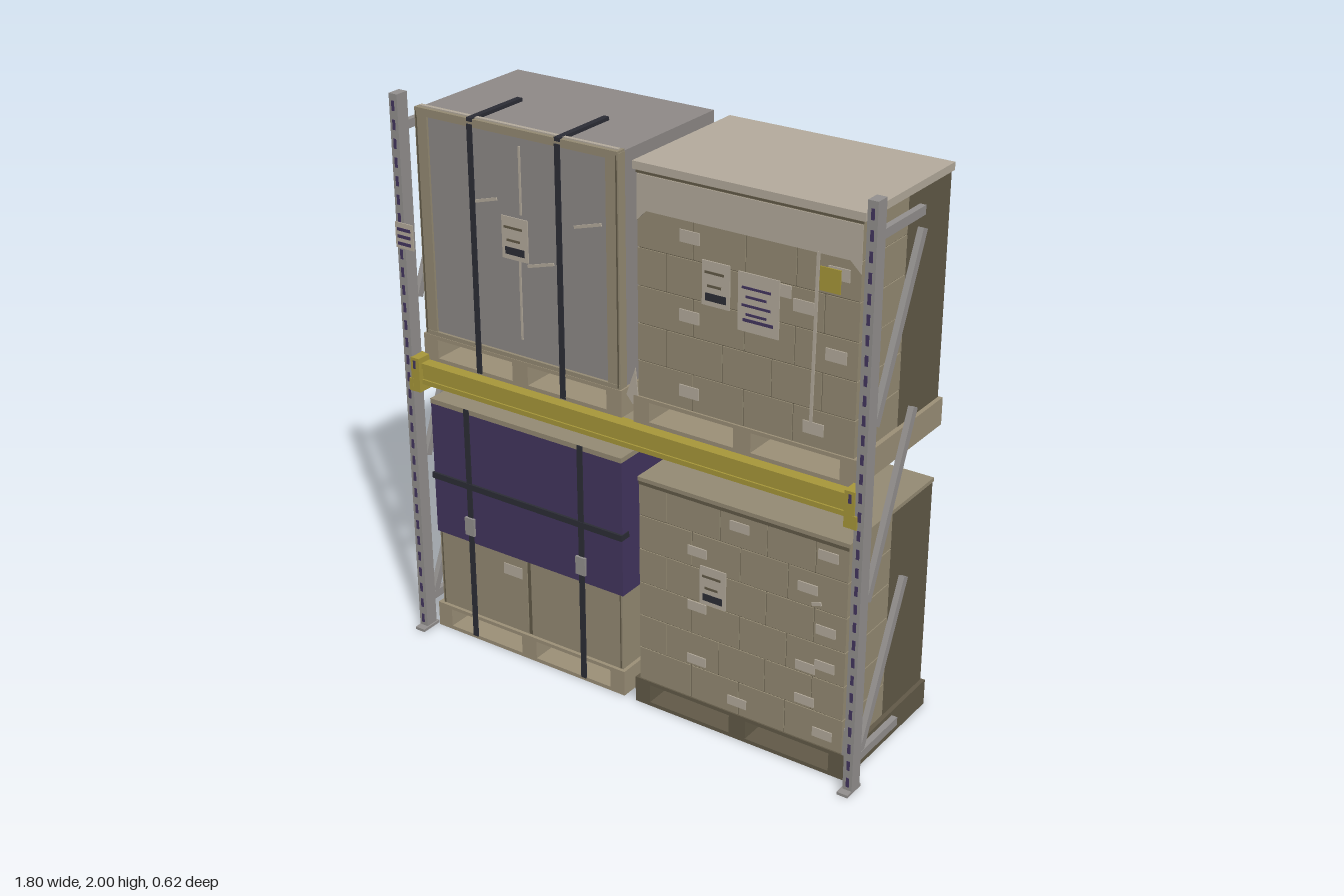
import * as THREE from 'three';

const mat = (name, color) => Object.assign(new THREE.MeshStandardMaterial({ color }), { name });

export function createModel() {
  const root = new THREE.Group();
  root.name = 'loadedPalletRack';
  const card = mat('cardboard', 0x958b74), brown = mat('shadedCardboard', 0x625a48);
  const wood = mat('palletWood', 0x9c9078), grey = mat('greyWrap', 0x8f8a88);
  const cream = mat('paleWrap', 0xb5ac9d), purple = mat('purpleCover', 0x43355f);
  const black = mat('strapBlack', 0x2c2d36), yellow = mat('beamYellow', 0xa8983a);
  const steel = mat('steel', 0x94918f);

  const group = (name) => {
    const g = new THREE.Group();
    g.name = name;
    root.add(g);
    return g;
  };
  // box given by its limits on each axis
  const block = (g, name, m, x0, x1, y0, y1, z0, z1) => {
    const b = new THREE.Mesh(new THREE.BoxGeometry(x1 - x0, y1 - y0, z1 - z0), m);
    b.position.set((x0 + x1) / 2, (y0 + y1) / 2, (z0 + z1) / 2);
    b.name = name;
    g.add(b);
    return b;
  };
  // thin plate facing the front
  const plate = (g, name, m, x, y, w, h, z = 0.232, turn = 0) => {
    const b = block(g, name, m, x - w / 2, x + w / 2, y - h / 2, y + h / 2, z - 0.002, z + 0.002);
    b.rotation.z = turn;
    return b;
  };
  const extrude = (g, name, m, points, z, depth, holes = []) => {
    const toV = (p) => new THREE.Vector2(p[0], p[1]);
    const s = new THREE.Shape(points.map(toV));
    for (const h of holes) s.holes.push(new THREE.Path(h.map(toV)));
    const e = new THREE.Mesh(new THREE.ExtrudeGeometry(s, { depth, bevelEnabled: false }), m);
    e.position.z = z;
    e.name = name;
    g.add(e);
  };
  const rect = (x0, x1, y0, y1) => [[x0, y0], [x1, y0], [x1, y1], [x0, y1]];

  // Pallet with two fork openings running front to back
  const pallet = (g, m, x0, x1, y) => {
    const c = (x0 + x1) / 2;
    extrude(g, 'pallet', m, rect(x0, x1, y, y + 0.095), -0.31, 0.54,
      [rect(x0 + 0.06, c - 0.032, y + 0.014, y + 0.082), rect(c + 0.032, x1 - 0.06, y + 0.014, y + 0.082)]);
  };

  // Rows of staggered cartons over a plain block
  const cartons = (g, x0, x1, y0, y1, rows) => {
    block(g, 'rearCartons', brown, x0, x1, y0, y1, -0.305, -0.04);
    block(g, 'cartonSeams', brown, x0 + 0.004, x1 - 0.004, y0, y1, -0.04, 0.223);
    const h = (y1 - y0) / rows, w = (x1 - x0) / 4, gap = 0.002;
    for (let r = 0; r < rows; r++) {
      const cuts = r % 2 ? [0, 0.55, 1.6, 2.5, 3.4, 4] : [0, 1.05, 2, 2.9, 4];
      for (let i = 0; i + 1 < cuts.length; i++) {
        block(g, 'carton', card,
          x0 + cuts[i] * w + (i ? gap : 0), x0 + cuts[i + 1] * w - (i + 2 < cuts.length ? gap : 0),
          y0 + r * h + gap, y0 + (r + 1) * h - gap, -0.04, 0.227);
      }
    }
  };

  // Paper label with printed bars
  const label = (g, x, y, w, h, bars, ink) => {
    plate(g, 'label', cream, x, y, w, h, 0.235);
    for (let i = 0; i < bars; i++) {
      plate(g, 'labelBar', ink, x - w * 0.05, y + h * (0.25 - i * 0.6 / bars), w * (i % 2 ? 0.5 : 0.7), 0.008, 0.237);
    }
    plate(g, 'labelBlock', bars > 2 ? ink : black, x, y - h * 0.3, w * 0.74, bars > 2 ? 0.01 : 0.025, 0.237);
  };

  // Upper grey wrapped load
  const a = group('greyWrappedLoad');
  pallet(a, wood, -0.85, -0.025, 1.06);
  block(a, 'wrappedBody', grey, -0.838, -0.035, 1.155, 1.945, -0.308, 0.218);
  for (const [x0, x1] of [[-0.842, -0.793], [-0.08, -0.031]]) {
    block(a, 'cornerBoard', card, x0, x1, 1.155, 1.945, 0.19, 0.226);
  }
  for (const x of [-0.835, -0.038]) plate(a, 'cornerEdge', brown, x, 1.55, 0.004, 0.78, 0.227);
  block(a, 'topBoard', card, -0.84, -0.033, 1.925, 1.952, 0.19, 0.228);
  block(a, 'topEdge', cream, -0.83, -0.04, 1.948, 1.956, 0.2, 0.214);
  block(a, 'bottomBoard', card, -0.84, -0.033, 1.15, 1.17, 0.19, 0.228);
  for (const x of [-0.61, -0.26]) {
    plate(a, 'strap', black, x, 1.5, 0.021, 0.87, 0.231);
    block(a, 'strapTop', black, x - 0.0105, x + 0.0105, 1.944, 1.957, -0.03, 0.232);
  }
  label(a, -0.435, 1.585, 0.105, 0.145, 2, brown);
  plate(a, 'wrapCrease', cream, -0.42, 1.78, 0.007, 0.23, 0.22);
  plate(a, 'wrapCrease', cream, -0.43, 1.37, 0.007, 0.28, 0.22);
  for (const [x, y] of [[-0.57, 1.685], [-0.155, 1.685], [-0.345, 1.51]]) {
    plate(a, 'wrapCrease', cream, x, y, 0.11, 0.01, 0.22, 0.28);
  }

  // Upper right cartons under a pale wrap
  const b = group('upperCartonLoad');
  pallet(b, wood, 0.022, 0.842, 1.06);
  cartons(b, 0.04, 0.827, 1.155, 1.915, 6);
  block(b, 'paleCap', cream, 0.025, 0.835, 1.912, 1.938, -0.31, 0.232);
  extrude(b, 'wrapSkirt', cream, [[0.04, 1.9], [0.04, 1.75], [0.075, 1.785], [0.79, 1.785], [0.827, 1.75], [0.827, 1.9]], 0.227, 0.003);
  plate(b, 'capSeam', brown, 0.433, 1.907, 0.79, 0.007, 0.229);
  label(b, 0.335, 1.605, 0.1, 0.145, 2, brown);
  label(b, 0.487, 1.575, 0.145, 0.19, 4, purple);
  plate(b, 'goldSticker', yellow, 0.73, 1.712, 0.07, 0.075, 0.236);
  plate(b, 'wrapStrip', cream, 0.68, 1.5, 0.01, 0.58, 0.23, -0.015);
  for (const [x, y] of [[0.235, 1.735], [0.235, 1.475], [0.755, 1.735], [0.755, 1.475], [0.235, 1.22], [0.685, 1.22], [0.64, 1.605], [0.56, 1.64]]) {
    plate(b, 'cartonTag', cream, x, y, 0.072, 0.04, 0.23);
  }
  extrude(b, 'looseWrap', cream, [[-0.005, 1.15], [0.02, 1.12], [0.04, 1.15], [0.03, 1.25]], 0.226, 0.004);

  // Lower left covered load
  const c = group('coveredLoad');
  pallet(c, wood, -0.85, -0.025, 0);
  block(c, 'rearCartons', brown, -0.833, -0.037, 0.095, 0.4, -0.304, -0.04);
  block(c, 'cartonSeam', brown, -0.83, -0.04, 0.095, 0.4, -0.04, 0.216);
  block(c, 'cartonRight', card, -0.833, -0.445, 0.097, 0.4, -0.04, 0.22);
  block(c, 'cartonLeft', card, -0.428, -0.037, 0.097, 0.4, -0.04, 0.22);
  for (const x of [-0.825, -0.045]) plate(c, 'cartonEdge', brown, x, 0.243, 0.004, 0.29, 0.22);
  plate(c, 'cartonTag', cream, -0.505, 0.332, 0.08, 0.042, 0.221);
  block(c, 'cover', purple, -0.84, -0.031, 0.39, 0.892, -0.308, 0.225);
  block(c, 'lid', card, -0.84, -0.031, 0.892, 0.91, -0.31, 0.228);
  for (const x of [-0.68, -0.198]) {
    plate(c, 'strap', black, x, 0.46, 0.022, 0.9, 0.23);
    block(c, 'buckle', steel, x - 0.02, x + 0.02, 0.425, 0.493, 0.23, 0.24);
  }
  block(c, 'crossStrap', black, -0.843, -0.028, 0.604, 0.626, 0.19, 0.234);

  // Lower right cartons
  const d = group('lowerCartonLoad');
  pallet(d, brown, 0.022, 0.842, 0);
  cartons(d, 0.04, 0.827, 0.095, 0.852, 6);
  block(d, 'lid', card, 0.035, 0.83, 0.852, 0.866, -0.308, 0.23);
  plate(d, 'lidSeam', brown, 0.433, 0.846, 0.785, 0.012, 0.228);
  label(d, 0.335, 0.55, 0.1, 0.14, 2, brown);
  for (const [x, y] of [[0.43, 0.8], [0.755, 0.8], [0.685, 0.665], [0.27, 0.455], [0.755, 0.53], [0.685, 0.375], [0.27, 0.25], [0.685, 0.25], [0.755, 0.145], [0.755, 0.4], [0.27, 0.66], [0.43, 0.145]]) {
    plate(d, 'cartonTag', cream, x, y, 0.072, 0.034, 0.23);
  }
  plate(d, 'wrapCrease', cream, 0.72, 0.62, 0.035, 0.012, 0.232, 0.3);
  extrude(d, 'looseWrap', steel, [[0.83, 0.095], [0.87, 0.1], [0.835, 0.2]], 0.226, 0.004);

  // Rack frames, mirrored left and right
  for (const s of [-1, 1]) {
    const f = group(s < 0 ? 'rightFrame' : 'leftFrame');
    const side = (name, m, x0, x1, ...rest) => block(f, name, m, Math.min(s * x0, s * x1), Math.max(s * x0, s * x1), ...rest);
    side('upright', steel, 0.866, 0.9, 0, 2, 0.23, 0.28);
    side('footPlate', steel, 0.86, 0.9, 0, 0.01, 0.222, 0.306);
    for (let i = 0; i < 31; i++) plate(f, 'slot', purple, s * 0.884, 0.04 + i * 0.064, 0.011, 0.034, 0.28);
    for (const y of [0.11, 1.885]) side('horizontalBrace', steel, 0.873, 0.894, y - 0.015, y + 0.015, -0.02, 0.235);
    for (const [y0, y1] of [[0.125, 0.65], [0.675, 1.245], [1.275, 1.825]]) {
      const dz = -0.24, dy = y1 - y0;
      const brace = new THREE.Mesh(new THREE.BoxGeometry(0.02, Math.hypot(dz, dy), 0.028), steel);
      brace.position.set(s * 0.883, (y0 + y1) / 2, 0.092);
      brace.rotation.x = Math.atan2(dz, dy);
      brace.name = 'diagonalBrace';
      f.add(brace);
    }
    // hooked end of the beam
    side('beamConnector', yellow, 0.832, 0.868, 0.955, 1.08, 0.225, 0.285);
    side('connectorTab', yellow, 0.86, 0.878, 0.955, 1.0, 0.275, 0.286);
    plate(f, 'connectorSlot', purple, s * 0.852, 1.055, 0.01, 0.03, 0.285);
  }

  // Front beam with a lip on top and bottom
  const beam = group('beam');
  block(beam, 'beamWeb', yellow, -0.85, 0.85, 0.985, 1.058, 0.222, 0.266);
  block(beam, 'beamTopLip', yellow, -0.85, 0.85, 1.04, 1.06, 0.222, 0.272);
  block(beam, 'beamBottomLip', yellow, -0.85, 0.85, 0.983, 1.0, 0.222, 0.272);

  // Location sign on the right upright
  const sign = group('locationSign');
  plate(sign, 'signPlate', cream, -0.862, 1.518, 0.075, 0.09, 0.285);
  for (const y of [1.54, 1.515, 1.49]) plate(sign, 'signBar', purple, -0.862, y, 0.055, 0.011, 0.287);

  return root;
}
